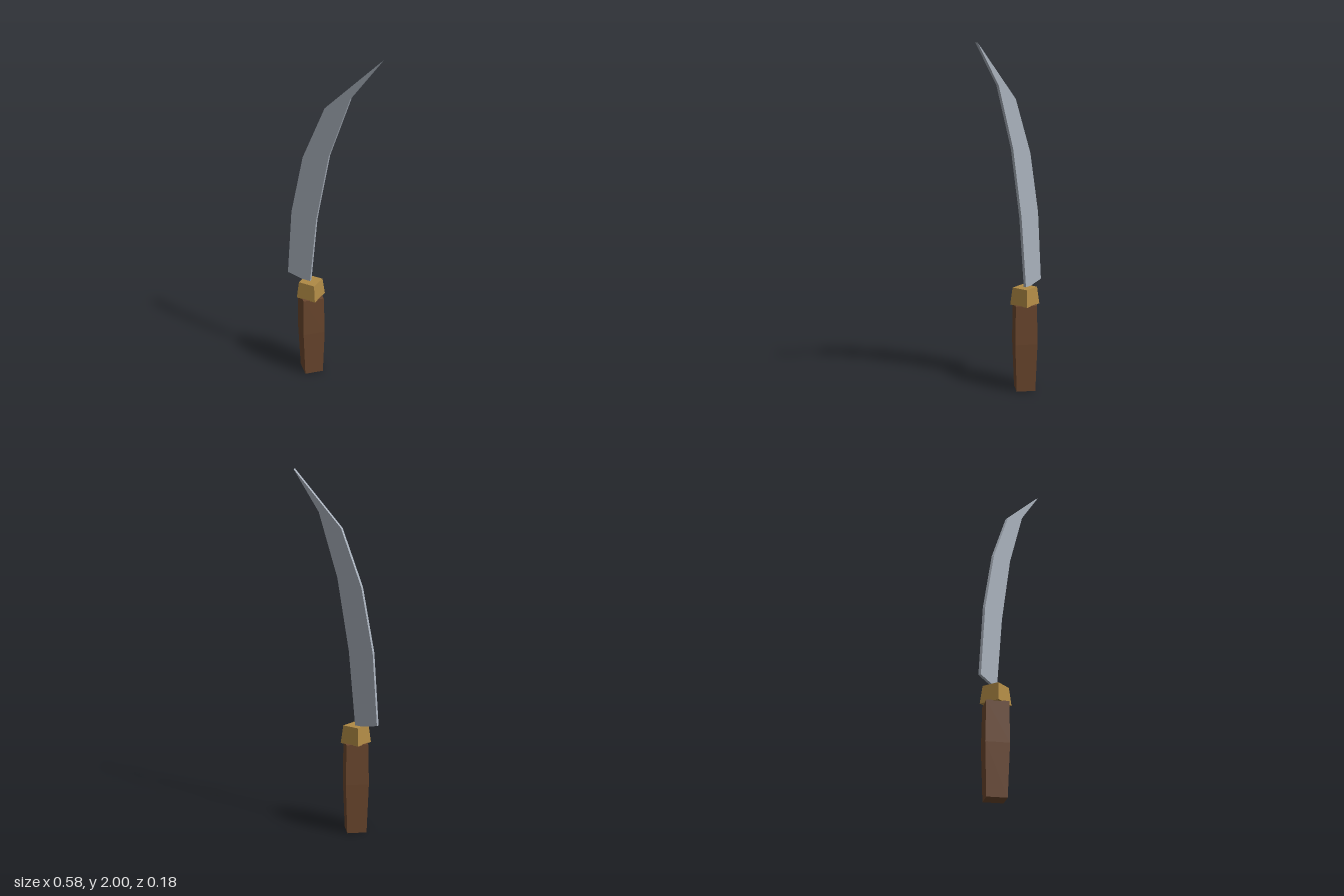
import * as THREE from 'three';

const mat = (name, color) => {
  const m = new THREE.MeshStandardMaterial({ color, flatShading: true });
  m.name = name;
  return m;
};

export function createModel() {
  const group = new THREE.Group();
  const wood = mat('dark wood', 0x6b472e);
  const brass = mat('brass', 0xb08a45);
  const steel = mat('steel', 0xa9b1bc);
  const axisX = -0.142;

  const add = (name, geometry, material, x = 0, y = 0, z = 0) => {
    const mesh = new THREE.Mesh(geometry, material);
    mesh.name = name;
    mesh.position.set(x, y, z);
    group.add(mesh);
    return mesh;
  };

  // Four-sided handle, swelling at the middle, corners on the x and z axes
  const profile = [[0, 0], [0.077, 0], [0.091, 0.285], [0.086, 0.513], [0, 0.513]]
    .map(([r, y]) => new THREE.Vector2(r, y));
  add('handle', new THREE.LatheGeometry(profile, 4), wood, axisX);

  // Tapered square collar, turned 45 degrees to the handle
  const collar = new THREE.CylinderGeometry(0.05 * Math.SQRT2, 0.06 * Math.SQRT2, 0.1, 4);
  collar.rotateY(Math.PI / 4);
  add('collar', collar, brass, axisX, 0.56);

  // Thin curved blade: cutting edge up, then spine back down
  const outline = [
    [-0.143, 0.6], [-0.098, 1.02], [-0.018, 1.42], [0.11, 1.77], [0.288, 2],
    [-0.042, 1.69], [-0.18, 1.38], [-0.258, 1.03], [-0.29, 0.63],
  ].map(([x, y]) => new THREE.Vector2(x, y));
  const thickness = 0.016;
  const blade = new THREE.ExtrudeGeometry(new THREE.Shape(outline), { depth: thickness, bevelEnabled: false });
  add('blade', blade, steel, 0, 0, -thickness / 2);

  return group;
}
